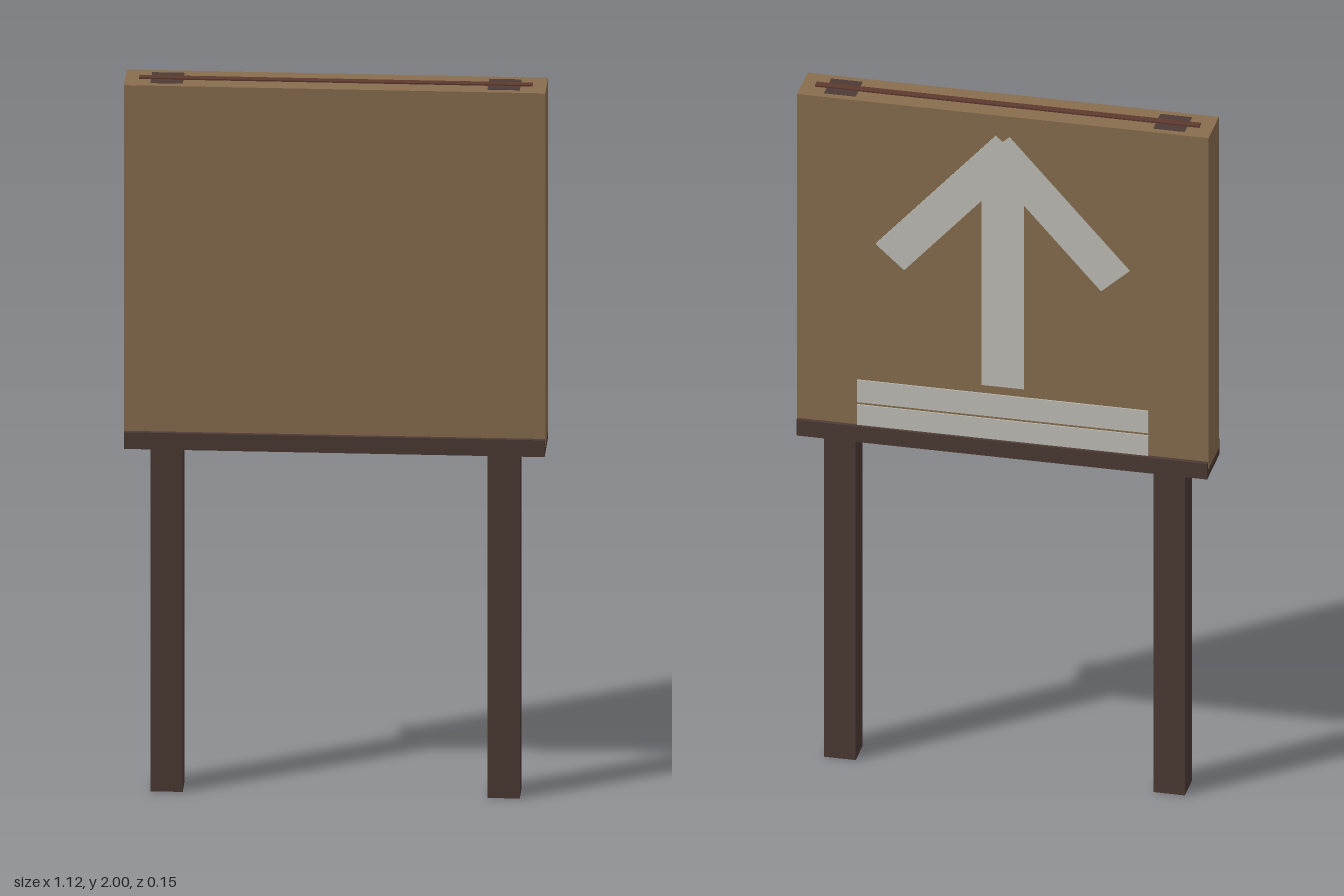
import * as THREE from 'three';

export function createModel() {
  const model = new THREE.Group();
  model.name = 'signboard';

  const mat = (name, color) => {
    const m = new THREE.MeshStandardMaterial({ color });
    m.name = name;
    return m;
  };
  const boardWood = mat('board wood', 0x8a6e4f);
  const darkWood = mat('dark wood', 0x4d3b35);
  const redWood = mat('red brown trim', 0x5d392e);
  const paint = mat('pale paint', 0xc4c2ba);

  // Box given by its lower and upper corners
  const box = (name, material, [x0, y0, z0], [x1, y1, z1]) => {
    const mesh = new THREE.Mesh(new THREE.BoxGeometry(x1 - x0, y1 - y0, z1 - z0), material);
    mesh.position.set((x0 + x1) / 2, (y0 + y1) / 2, (z0 + z1) / 2);
    mesh.name = name;
    model.add(mesh);
    return mesh;
  };

  // Board, ledge below it and trim strip along its top
  box('board', boardWood, [-0.56, 1.0, -0.062], [0.56, 1.996, 0.062]);
  box('ledge', darkWood, [-0.559, 0.975, -0.074], [0.559, 1.022, 0.074]);
  box('topTrim', redWood, [-0.523, 1.98, -0.011], [0.523, 2.0, 0.011]);

  // Posts run up through the board and show at its top
  for (const side of [-1, 1]) {
    const cx = side * 0.448;
    box(side > 0 ? 'leftPost' : 'rightPost', darkWood,
      [cx - 0.043, 0, -0.042], [cx + 0.043, 1.997, 0.042]);
  }

  // Painted arrow on the back: shaft and two slanted bars
  box('arrowShaft', paint, [-0.058, 1.182, -0.065], [0.058, 1.87, -0.06]);
  for (const side of [-1, 1]) {
    const low = new THREE.Vector2(0.307 * side, 1.537);
    const high = new THREE.Vector2(-0.02 * side, 1.9);
    const dir = high.clone().sub(low);
    const bar = new THREE.Mesh(new THREE.BoxGeometry(dir.length(), 0.105, 0.005), paint);
    bar.position.set((low.x + high.x) / 2, (low.y + high.y) / 2, -0.0625 - side * 0.0002);
    bar.rotation.z = dir.angle();
    bar.name = side > 0 ? 'arrowBarLeft' : 'arrowBarRight';
    model.add(bar);
  }

  // Two painted stripes under the arrow
  for (const [y0, y1] of [[1.021, 1.083], [1.09, 1.157]]) {
    box('paintedStripe', paint, [-0.396, y0, -0.065], [0.396, y1, -0.06]);
  }

  return model;
}
